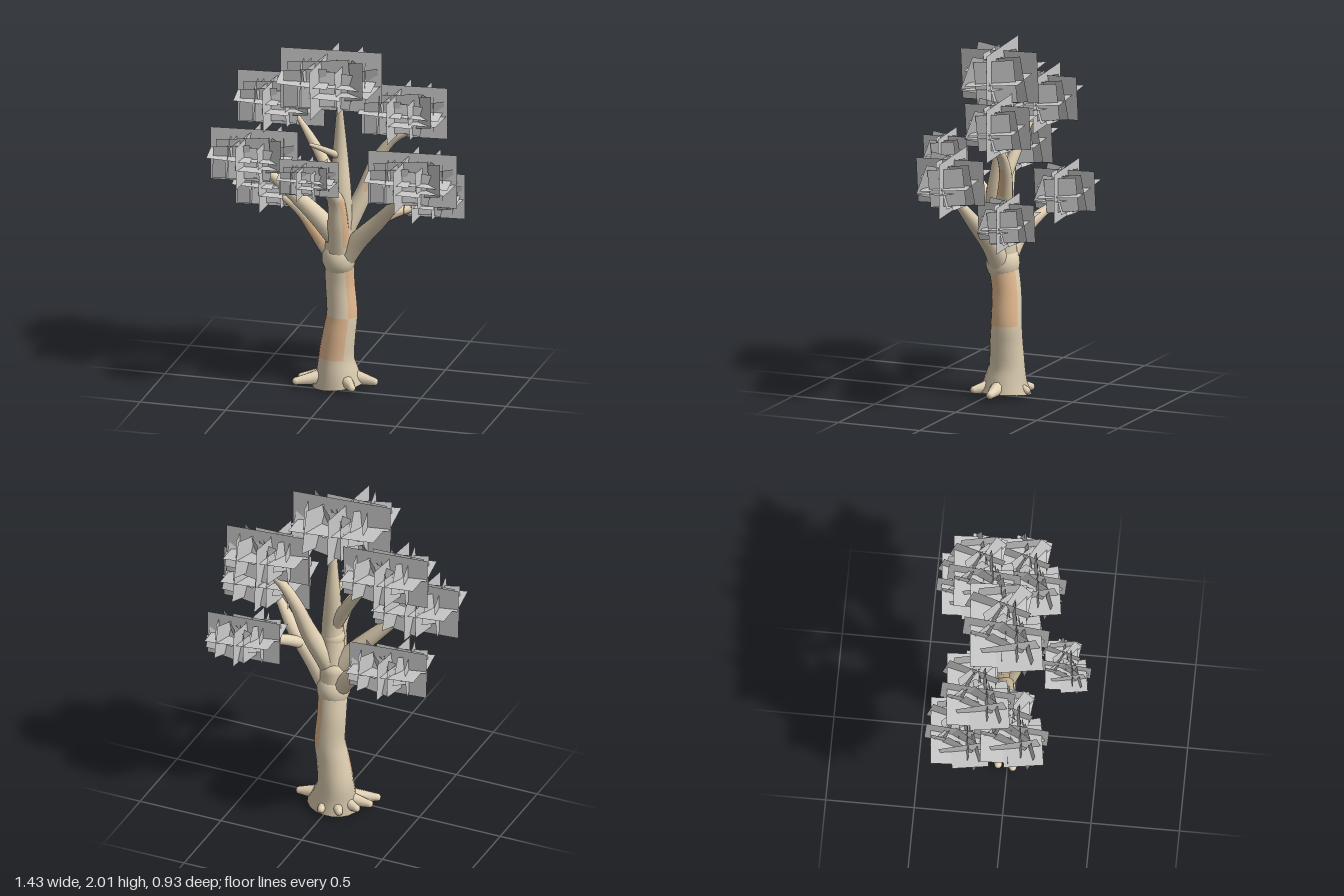
import * as THREE from 'three';
import { mergeGeometries } from 'three/addons/utils/BufferGeometryUtils.js';

export function createModel() {
  const tree = new THREE.Group();
  tree.name = 'tree';
  const bark = new THREE.MeshStandardMaterial({ color: 0xe3d3b6 });
  bark.name = 'pale bark';
  const peach = new THREE.MeshStandardMaterial({ color: 0xe8be94 });
  peach.name = 'peach bark';
  const grey = new THREE.MeshStandardMaterial({ color: 0xcacaca, side: THREE.DoubleSide });
  grey.name = 'grey leaves';

  function add(name, geometry, material, parent = tree) {
    const mesh = new THREE.Mesh(geometry, material);
    mesh.name = name;
    parent.add(mesh);
    return mesh;
  }

  // Tapered tube through [x, y, z, radius] points; isPatch picks the peach faces
  function limb(name, points, isPatch = () => false, segments = 16, sides = 14) {
    const group = new THREE.Group();
    group.name = name;
    tree.add(group);
    const curve = new THREE.CatmullRomCurve3(points.map(p => new THREE.Vector3(p[0], p[1], p[2])));
    const geo = new THREE.TubeGeometry(curve, segments, 1, sides, false);
    const pos = geo.attributes.position;
    const v = new THREE.Vector3();
    for (let j = 0; j <= segments; j++) {
      const u = j / segments;
      const t = curve.getUtoTmapping(u) * (points.length - 1);
      const k = Math.min(Math.floor(t), points.length - 2);
      const r = THREE.MathUtils.lerp(points[k][3], points[k + 1][3], t - k);
      const c = curve.getPointAt(u);
      for (let i = 0; i <= sides; i++) {
        const n = j * (sides + 1) + i;
        v.fromBufferAttribute(pos, n).sub(c).multiplyScalar(r).add(c);
        pos.setXYZ(n, v.x, v.y, v.z);
      }
    }
    // One material group per quad
    const normal = geo.attributes.normal;
    for (let q = 0; q < segments * sides; q++) {
      const a = geo.index.getX(q * 6), b = geo.index.getX(q * 6 + 4);
      const dir = Math.atan2(normal.getX(a) + normal.getX(b), normal.getZ(a) + normal.getZ(b));
      geo.addGroup(q * 6, 6, isPatch((pos.getY(a) + pos.getY(b)) / 2, dir) ? 1 : 0);
    }
    add(name + 'Surface', geo, [bark, peach], group);
    // Rounded tip
    const end = points[points.length - 1];
    add(name + 'Tip', new THREE.SphereGeometry(end[3], 12, 8), bark, group).position.set(end[0], end[1], end[2]);
  }

  // Trunk with flared foot and two painted bark patches
  limb('trunk', [
    [-0.005, 0.008, -0.08, 0.15], [-0.012, 0.07, -0.08, 0.125], [-0.02, 0.16, -0.085, 0.102],
    [-0.005, 0.3, -0.088, 0.094], [0.01, 0.42, -0.095, 0.088], [0, 0.6, -0.092, 0.084],
    [0, 0.78, -0.07, 0.085], [0, 0.88, -0.07, 0.075],
  ], (y, dir) => (y > 0.16 && y < 0.42 && dir > -1.5 && dir < 0.6)
    || (y > 0.42 && y < 0.72 && dir > 0.75 && dir < 2.8), 28, 18);
  const foot = add('trunkUnderside', new THREE.CircleGeometry(0.148, 18), bark);
  foot.rotation.x = Math.PI / 2;
  foot.position.set(-0.005, 0.008, -0.08);
  const fork = add('forkKnot', new THREE.SphereGeometry(0.097, 18, 12), bark);
  fork.scale.y = 1.15;
  fork.position.set(0, 0.76, -0.07);

  // Roots spreading around the foot
  const rootEnds = [[0.12, 0.07], [0.22, -0.08], [0.01, -0.23], [-0.1, -0.21], [-0.18, -0.13], [-0.23, -0.05], [-0.24, 0.04]];
  rootEnds.forEach(([x, z], i) => limb('root' + (i + 1), [
    [-0.01, 0.07, -0.08, 0.055],
    [x * 0.6, 0.045, -0.08 + (z + 0.08) * 0.6, 0.036],
    [x * 0.93, 0.034, -0.08 + (z + 0.08) * 0.93, 0.022],
  ], undefined, 8, 10));

  // Leader and side branches
  limb('leader', [[0, 0.78, -0.07, 0.08], [0.01, 0.95, -0.05, 0.072], [0.02, 1.15, -0.04, 0.062],
    [0.01, 1.4, -0.06, 0.043], [0.01, 1.66, -0.05, 0.018]], (y, dir) => y > 0.95 && y < 1.12 && dir > -1.4 && dir < -0.3);
  const knot = add('leaderKnot', new THREE.SphereGeometry(0.068, 14, 10), bark);
  knot.position.set(0.015, 1.08, -0.04);
  limb('leftMiddleBranch', [[0, 0.72, -0.07, 0.07], [0.12, 0.88, -0.05, 0.055], [0.27, 1.04, -0.01, 0.042],
    [0.4, 1.2, 0.05, 0.022]]);
  limb('leftLowBranch', [[0.2, 0.98, -0.03, 0.035], [0.29, 1.03, -0.12, 0.032], [0.38, 1.05, -0.2, 0.026],
    [0.44, 1.08, -0.26, 0.015]], (y, dir) => y < 1.04 && dir > -0.8 && dir < 0.8);
  limb('leftUpperBranch', [[0.02, 0.9, -0.07, 0.06], [0.12, 1.12, -0.13, 0.05], [0.19, 1.32, -0.17, 0.036],
    [0.28, 1.45, -0.18, 0.027], [0.4, 1.52, -0.18, 0.014]], (y, dir) => y > 1.18 && y < 1.36 && dir > 0 && dir < 1.6);
  limb('rightMiddleBranch', [[0, 0.88, -0.05, 0.065], [-0.13, 1.03, -0.02, 0.052], [-0.28, 1.18, 0.02, 0.038],
    [-0.42, 1.3, 0.05, 0.02]]);
  limb('rightLowBranch', [[0, 0.74, -0.07, 0.065], [-0.14, 0.89, -0.11, 0.047], [-0.25, 0.98, -0.17, 0.034],
    [-0.41, 1.05, -0.24, 0.015]], (y, dir) => y > 0.84 && y < 0.96 && dir > -1.2 && dir < 0.6);
  limb('rightUpperBranch', [[0.01, 1.15, -0.04, 0.045], [-0.09, 1.32, -0.08, 0.034], [-0.18, 1.45, -0.11, 0.026],
    [-0.26, 1.55, -0.14, 0.013]]);
  limb('frontBranch', [[0.01, 0.82, -0.04, 0.065], [0.015, 0.98, 0, 0.06], [0.01, 1.14, 0.04, 0.048],
    [-0.03, 1.25, 0.15, 0.028], [-0.06, 1.31, 0.25, 0.014]], (y, dir) => y > 0.85 && y < 1.14 && dir > 0.9 && dir < 2);
  limb('smallTwig', [[0, 1.38, -0.04, 0.022], [-0.06, 1.45, 0.07, 0.016], [-0.1, 1.5, 0.16, 0.01]]);

  // Leaf cards of a cluster one unit wide: width, height, x, y, z, rotations x, y, z
  const cards = [
    [1, 0.62, 0, 0, -0.05, 0, 0.1, 0],
    [0.6, 0.45, -0.08, 0.02, 0.08, 0.12, 0.15, 0.05],
    [0.45, 0.42, 0.08, -0.03, -0.17, 0.45, -0.3, 0.06],
    [0.42, 0.42, -0.2, -0.02, 0.18, 0.25, 0.35, -0.08],
    [0.4, 0.36, 0.28, -0.05, -0.08, 0.3, 0.3, 0.08],
    [0.84, 0.5, -0.05, 0, 0, 0, 1.5, 0.05],
    [0.6, 0.45, 0.18, 0, -0.1, 0.1, 1.35, 0.1],
    [0.55, 0.46, -0.25, 0, 0.08, -0.1, 1.75, -0.1],
    [0.4, 0.42, 0.33, 0.02, -0.12, 0, 1.8, 0.1],
    [0.88, 0.55, 0, 0.03, -0.08, -1.48, 0.06, 0.08],
    [0.5, 0.45, -0.22, 0.05, 0.14, -1.6, 0.08, 0.15],
    [0.4, 0.4, 0.27, -0.06, 0, -1.5, -0.08, -0.12],
    [0.3, 0.5, -0.02, -0.08, 0.1, -1.65, 0.08, 0.25],
  ];
  // Smaller steep cards leaning outwards through the middle
  for (let i = 0; i < 9; i++) {
    const a = i * 2.4, r = 0.08 + i * 0.022;
    cards.push([0.36, 0.36, r * 1.1 * Math.cos(a) - 0.03, 0.05 * Math.sin(i * 1.7), r * 0.8 * Math.sin(a),
      0.3 * Math.sin(i * 2.1), (i * 1.1) % Math.PI, 0.2 * Math.cos(i * 1.3)]);
  }
  const dummy = new THREE.Object3D();
  dummy.rotation.order = 'XYZ';
  const clusterGeometry = mergeGeometries(cards.map(([w, h, x, y, z, rx, ry, rz]) => {
    dummy.position.set(x, y, z);
    dummy.rotation.set(rx, ry, rz);
    dummy.updateMatrix();
    return new THREE.PlaneGeometry(w, h).applyMatrix4(dummy.matrix);
  }));

  // Leaf clusters: name, x, y, z, width
  const clusters = [
    ['topLeaves', -0.04, 1.82, -0.02, 0.58],
    ['rightUpperLeaves', -0.37, 1.64, -0.15, 0.5],
    ['leftUpperLeaves', 0.345, 1.62, -0.18, 0.49],
    ['rightMiddleLeaves', -0.47, 1.355, 0.05, 0.5],
    ['leftMiddleLeaves', 0.46, 1.305, 0.06, 0.51],
    ['frontLeaves', -0.07, 1.35, 0.32, 0.34],
    ['rightLowLeaves', -0.43, 1.1, -0.25, 0.46],
    ['leftLowLeaves', 0.45, 1.1, -0.28, 0.43],
  ];
  for (const [name, x, y, z, width] of clusters) {
    const mesh = add(name, clusterGeometry, grey);
    mesh.position.set(x, y, z);
    mesh.scale.setScalar(width);
  }
  return tree;
}
